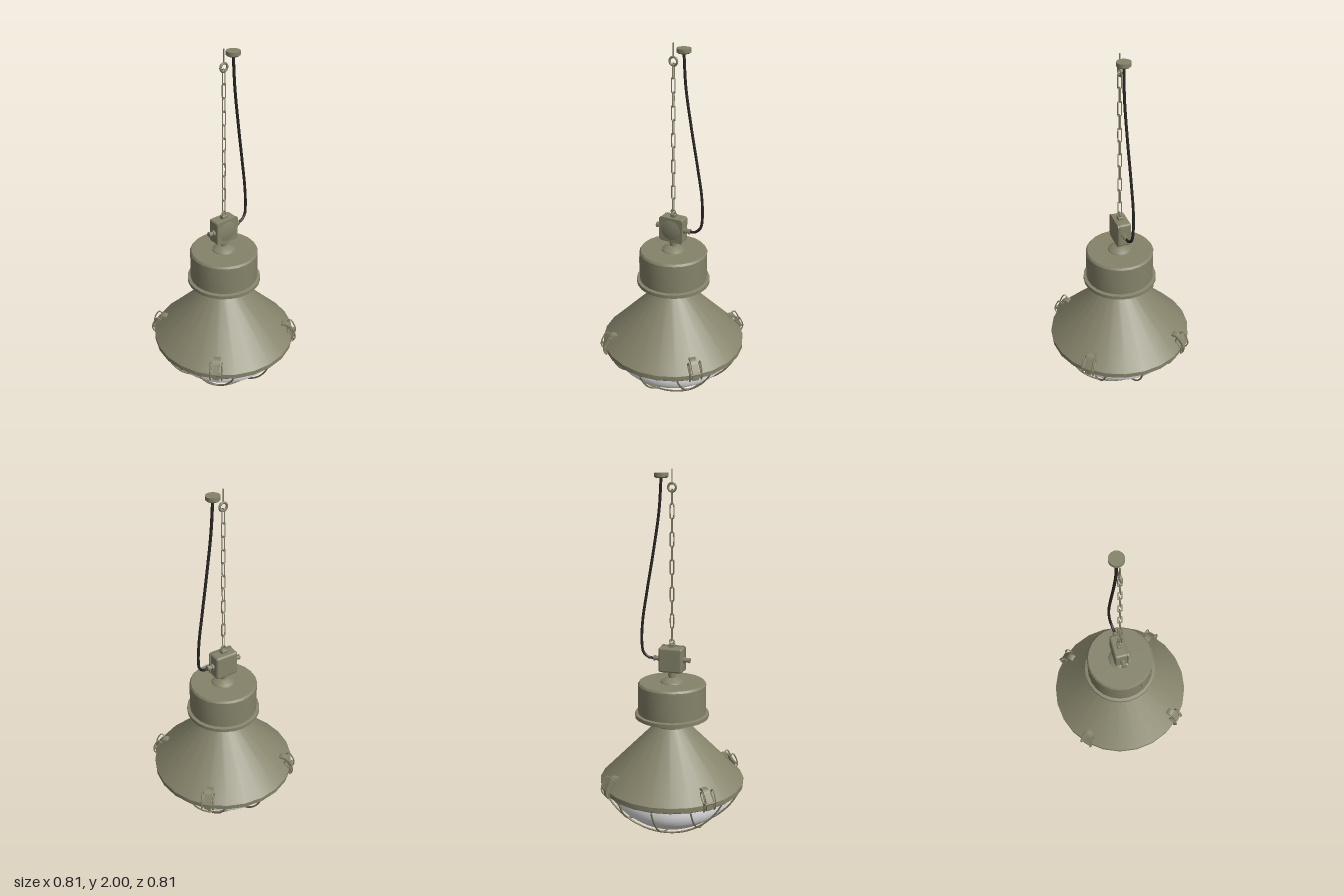
import * as THREE from 'three';
import { toCreasedNormals } from 'three/addons/utils/BufferGeometryUtils.js';
import { RoundedBoxGeometry } from 'three/addons/geometries/RoundedBoxGeometry.js';

const material = (name, color) => {
  const m = new THREE.MeshStandardMaterial({ color });
  m.name = name;
  return m;
};

export function createModel() {
  const olive = material('olive enamel', 0x85836a);
  const glass = material('pale glass', 0xe4e4e6);
  const rubber = material('black rubber', 0x282725);
  const lamp = new THREE.Group();
  lamp.name = 'pendantLamp';

  const add = (name, geometry, mat, pos = [0, 0, 0], rot = [0, 0, 0], parent = lamp) => {
    const mesh = new THREE.Mesh(geometry, mat);
    mesh.name = name;
    mesh.position.set(...pos);
    mesh.rotation.set(...rot);
    parent.add(mesh);
    return mesh;
  };
  // Profiles run from the bottom up as [radius, height]
  const lathe = (points, sides = 24) => toCreasedNormals(
    new THREE.LatheGeometry(points.map(p => new THREE.Vector2(...p)), sides), 0.45);
  const tube = (points, radius, segments, closed = false, sides = 6) => new THREE.TubeGeometry(
    new THREE.CatmullRomCurve3(points.map(p => new THREE.Vector3(...p)), closed), segments, radius, sides, closed);

  // Conical shade with its rim and neck
  add('shade', lathe([[0.36, 0.285], [0.37, 0.27], [0.4, 0.27], [0.405, 0.275], [0.405, 0.302],
    [0.398, 0.308], [0.095, 0.62], [0.095, 0.69]]), olive);

  // Gear housing with a grooved underside and flange
  add('housing', lathe([[0.09, 0.685], [0.12, 0.685], [0.12, 0.675], [0.14, 0.675], [0.14, 0.685],
    [0.16, 0.685], [0.16, 0.672], [0.18, 0.672], [0.18, 0.68], [0.19, 0.68], [0.19, 0.67], [0.205, 0.67],
    [0.205, 0.69], [0.188, 0.693], [0.188, 0.855], [0.18, 0.866], [0, 0.866]]), olive);
  add('housingTab', new THREE.BoxGeometry(0.012, 0.045, 0.006), olive, [-0.165, 0.795, 0.087], [0, -1.08, 0]);

  // Mounting dome and stem below the junction box
  add('stem', lathe([[0.065, 0.865], [0.062, 0.871], [0.035, 0.888], [0.018, 0.892], [0.018, 0.905],
    [0.022, 0.905], [0.022, 0.918], [0.018, 0.918], [0.018, 0.93]]), olive);

  // Ribbed glass bowl: a spherical cap whose upper part is stepped
  const bowl = [];
  const bowlRadius = 0.4, bowlBottom = 0.02;
  const capRadius = y => Math.sqrt(bowlRadius ** 2 - (bowlBottom + bowlRadius - y) ** 2);
  for (let i = 0; i <= 8; i++) {
    const a = i / 8 * Math.acos(1 - 0.12 / bowlRadius);
    bowl.push([bowlRadius * Math.sin(a), bowlBottom + bowlRadius * (1 - Math.cos(a))]);
  }
  for (let i = 0; i < 9; i++) {
    const y = 0.14 + i * 0.0155;
    bowl.push([capRadius(y) + 0.008, y + 0.004], [capRadius(y + 0.0155), y + 0.0155]);
  }
  add('glassBowl', lathe(bowl, 36), glass);

  // Wire cage: three arched wires each way over a larger cap
  const cageRadius = 0.4225, cageBottom = 0.006;
  for (const turn of [0, Math.PI / 2]) {
    for (const offset of [-0.2, 0, 0.2]) {
      const half = Math.sqrt(0.39 ** 2 - offset ** 2);
      const points = [];
      for (let i = 0; i <= 16; i++) {
        const t = half * Math.sin((i / 8 - 1) * Math.PI / 2);
        const y = cageBottom + cageRadius - Math.sqrt(cageRadius ** 2 - offset ** 2 - t ** 2);
        points.push([offset, y, t]);
      }
      add('cageWire', tube(points, 0.005, 40), olive, [0, 0, 0], [0, turn, 0]);
    }
  }

  // Four toggle latches around the rim
  const strap = new THREE.Shape();
  strap.moveTo(0.335, 0.372);
  strap.quadraticCurveTo(0.365, 0.385, 0.385, 0.358);
  strap.lineTo(0.413, 0.318);
  strap.lineTo(0.413, 0.272);
  strap.lineTo(0.403, 0.272);
  strap.lineTo(0.403, 0.312);
  strap.lineTo(0.376, 0.35);
  strap.quadraticCurveTo(0.362, 0.37, 0.338, 0.36);
  const strapGeometry = new THREE.ExtrudeGeometry(strap, { depth: 0.036, bevelEnabled: false, curveSegments: 6 });
  strapGeometry.translate(0, 0, -0.018).rotateY(-Math.PI / 2);
  const barrel = new THREE.CylinderGeometry(0.008, 0.008, 0.068, 10).rotateZ(Math.PI / 2);
  for (let i = 0; i < 4; i++) {
    const latch = new THREE.Group();
    latch.name = 'latch';
    latch.rotation.y = Math.PI / 4 + i * Math.PI / 2;
    lamp.add(latch);
    add('latchStrap', strapGeometry, olive, [0, 0, 0], [0, 0, 0], latch);
    add('latchBarrel', barrel, olive, [0, 0.31, 0.41], [0, 0, 0], latch);
    for (const side of [-1, 1]) {
      const x = side * 0.032;
      add('latchSideWire', tube([[x, 0.268, 0.405], [x, 0.3, 0.422], [x, 0.345, 0.41], [x, 0.374, 0.388],
        [x, 0.354, 0.37], [x, 0.31, 0.404]], 0.004, 24, true), olive, [0, 0, 0], [0, 0, 0], latch);
    }
  }

  // Junction box with a rounded cover and a shallow boss
  add('junctionBox', new RoundedBoxGeometry(0.134, 0.138, 0.072, 2, 0.012), olive, [0, 0.995, -0.008]);
  const cover = new THREE.Shape();
  const h = 0.071, r = 0.016;
  cover.absarc(h - r, h - r, r, 0, Math.PI / 2);
  cover.absarc(r - h, h - r, r, Math.PI / 2, Math.PI);
  cover.absarc(r - h, r - h, r, Math.PI, Math.PI * 1.5);
  cover.absarc(h - r, r - h, r, Math.PI * 1.5, Math.PI * 2);
  add('boxCover', new THREE.ExtrudeGeometry(cover, { depth: 0.008, bevelEnabled: false, curveSegments: 5 }),
    olive, [0, 0.995, 0.025]);
  add('coverBoss', lathe([[0.058, 0], [0.045, 0.003], [0.025, 0.006], [0, 0.007]]), olive,
    [0, 0.995, 0.033], [Math.PI / 2, 0, 0]);

  // Cable glands on both sides
  for (const side of [-1, 1]) {
    const turn = [0, 0, Math.PI / 2];
    add('glandCollar', new THREE.CylinderGeometry(0.017, 0.017, 0.012, 12), olive, [side * 0.072, 0.995, -0.002], turn);
    add('glandNeck', new THREE.CylinderGeometry(0.012, 0.012, 0.03, 12), olive, [side * 0.086, 0.995, -0.002], turn);
    add('glandNut', new THREE.CylinderGeometry(0.015, 0.015, 0.01, 6), olive, [side * 0.098, 0.995, -0.002], turn);
  }

  // Lifting eye on the box
  add('eyeBase', new RoundedBoxGeometry(0.034, 0.024, 0.03, 2, 0.005), olive, [0, 1.071, -0.002]);
  add('liftingEye', new THREE.TorusGeometry(0.012, 0.004, 8, 20), olive, [0, 1.094, 0]);

  // Chain of alternating, square-ended links
  const outline = [];
  for (const end of [1, -1]) {
    outline.push([0.0095 * end, 0.028 * end, 0], [0.009 * end, 0.037 * end, 0], [0, 0.039 * end, 0],
      [-0.009 * end, 0.037 * end, 0], [-0.0095 * end, 0.028 * end, 0]);
  }
  const link = tube(outline, 0.0029, 40, true);
  for (let i = 0; i < 11; i++) {
    add('chainLink', link, olive, [0, 1.86 - i * 0.0725, 0], [0, i % 2 ? 0 : Math.PI / 2, 0]);
  }

  // Ceiling hook
  add('hookRing', new THREE.TorusGeometry(0.021, 0.006, 8, 24), olive, [0, 1.908, 0]);
  add('hookStem', new THREE.CylinderGeometry(0.0035, 0.0035, 0.07, 8), olive, [0, 1.965, 0]);

  // Power cable and its ceiling cap
  add('cable', tube([[0.095, 0.995, -0.002], [0.13, 0.998, -0.006], [0.158, 1.025, -0.012], [0.166, 1.08, -0.016],
    [0.16, 1.2, -0.018], [0.136, 1.36, -0.014], [0.1, 1.58, -0.006], [0.07, 1.79, 0], [0.058, 1.965, 0]],
  0.0075, 60, false, 8), rubber);
  add('ceilingCap', lathe([[0, 1.955], [0.03, 1.955], [0.037, 1.961], [0.037, 1.98], [0, 1.98]]), olive, [0.058, 0, 0]);

  return lamp;
}
